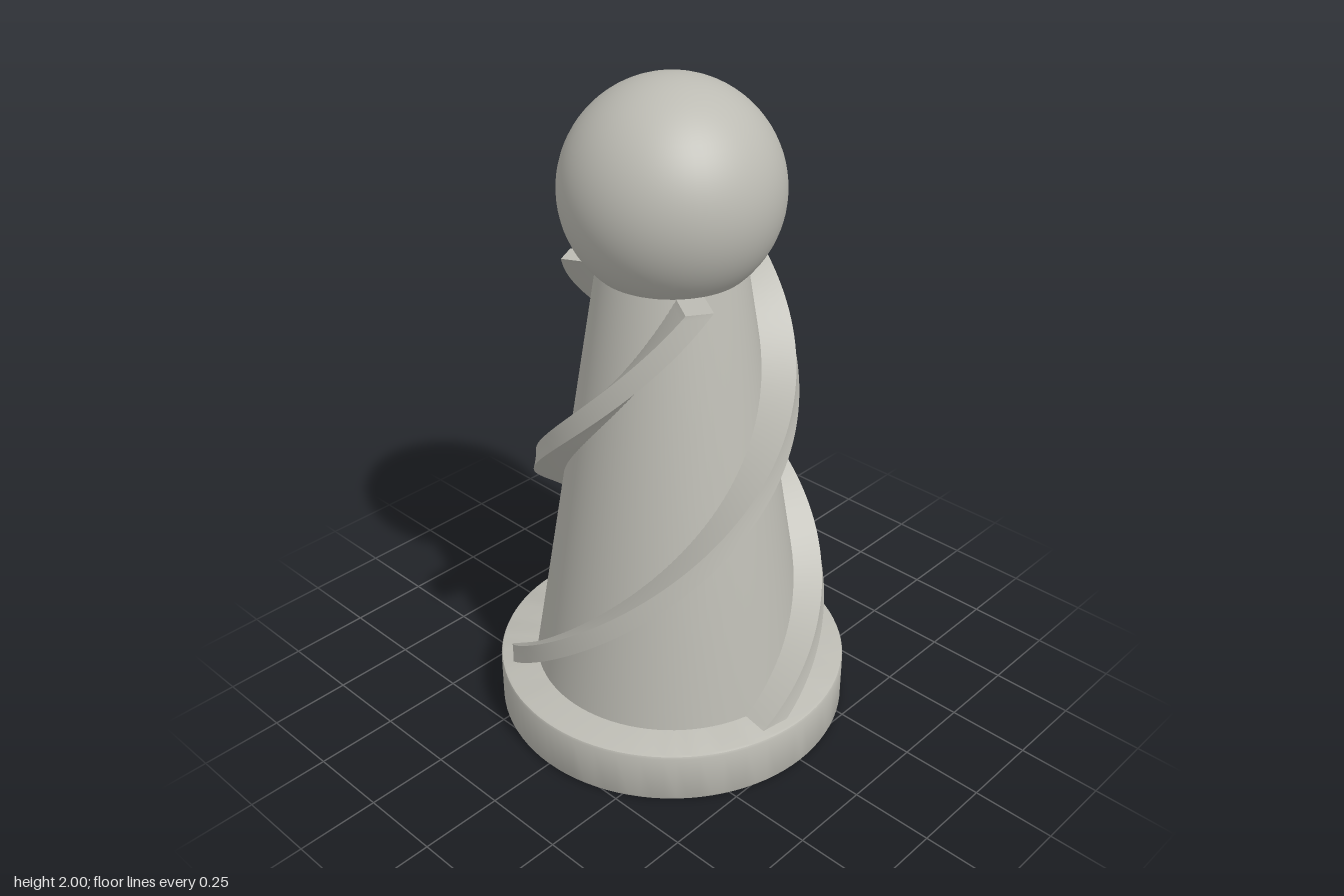
import * as THREE from 'three';
import { toCreasedNormals } from 'three/addons/utils/BufferGeometryUtils.js';

const BASE_TOP = 0.165, BODY_TOP = 1.46;
const stone = new THREE.MeshStandardMaterial({ color: 0xbcbbb3 });
stone.name = 'warm grey';

function addPart(group, name, geometry) {
  const mesh = new THREE.Mesh(geometry, stone);
  mesh.name = name;
  group.add(mesh);
  return mesh;
}

// Revolve [radius, height] pairs, keeping hard edges sharp
function turned(profile) {
  const points = profile.map(([r, y]) => new THREE.Vector2(r, y));
  return toCreasedNormals(new THREE.LatheGeometry(points, 96), 0.6);
}

// Rectangular rib swept up the tapered body while turning around it
function ribGeometry(startAngle, twist, steps = 90) {
  const positions = [], index = [];
  for (let i = 0; i <= steps; i++) {
    const t = i / steps;
    const y = THREE.MathUtils.lerp(BASE_TOP - 0.005, BODY_TOP, t);
    const outer = THREE.MathUtils.lerp(0.505, 0.312, t);
    const inner = THREE.MathUtils.lerp(0.36, 0.15, t);
    const half = THREE.MathUtils.lerp(0.045, 0.038, t);
    const a = startAngle + twist * t, s = Math.sin(a), c = Math.cos(a);
    for (const [r, w] of [[inner, -half], [outer, -half], [outer, half], [inner, half]]) {
      positions.push(r * s + w * c, y, r * c - w * s);
    }
  }
  for (let i = 0; i < steps; i++) {
    for (let k = 0; k < 4; k++) {
      const a = i * 4 + k, b = i * 4 + (k + 1) % 4;
      index.push(a, b, b + 4, a, b + 4, a + 4);
    }
  }
  const e = steps * 4;
  index.push(e, e + 1, e + 2, e, e + 2, e + 3, 0, 2, 1, 0, 3, 2);
  const geometry = new THREE.BufferGeometry();
  geometry.setAttribute('position', new THREE.Float32BufferAttribute(positions, 3));
  geometry.setIndex(index);
  return toCreasedNormals(geometry, 0.6);
}

export function createModel() {
  const model = new THREE.Group();
  model.name = 'spiralPawn';

  // Round foot with slightly eased rims
  addPart(model, 'base', turned([
    [0, 0], [0.53, 0], [0.537, 0.003], [0.54, 0.01],
    [0.54, BASE_TOP - 0.01], [0.537, BASE_TOP - 0.003], [0.53, BASE_TOP], [0, BASE_TOP],
  ]));

  // Tapered body
  addPart(model, 'body', turned([
    [0.426, BASE_TOP - 0.01], [0.425, BASE_TOP], [0.212, BODY_TOP], [0.208, BODY_TOP + 0.015], [0, BODY_TOP + 0.015],
  ]));

  // Three spiral ribs
  const ribs = new THREE.Group();
  ribs.name = 'spiralRibs';
  for (let i = 0; i < 3; i++) {
    const start = THREE.MathUtils.degToRad(-10 + i * 120);
    addPart(ribs, `rib${i + 1}`, ribGeometry(start, THREE.MathUtils.degToRad(217)));
  }
  model.add(ribs);

  // Ball on top
  addPart(model, 'head', new THREE.SphereGeometry(0.312, 64, 40)).position.y = 1.688;

  return model;
}
